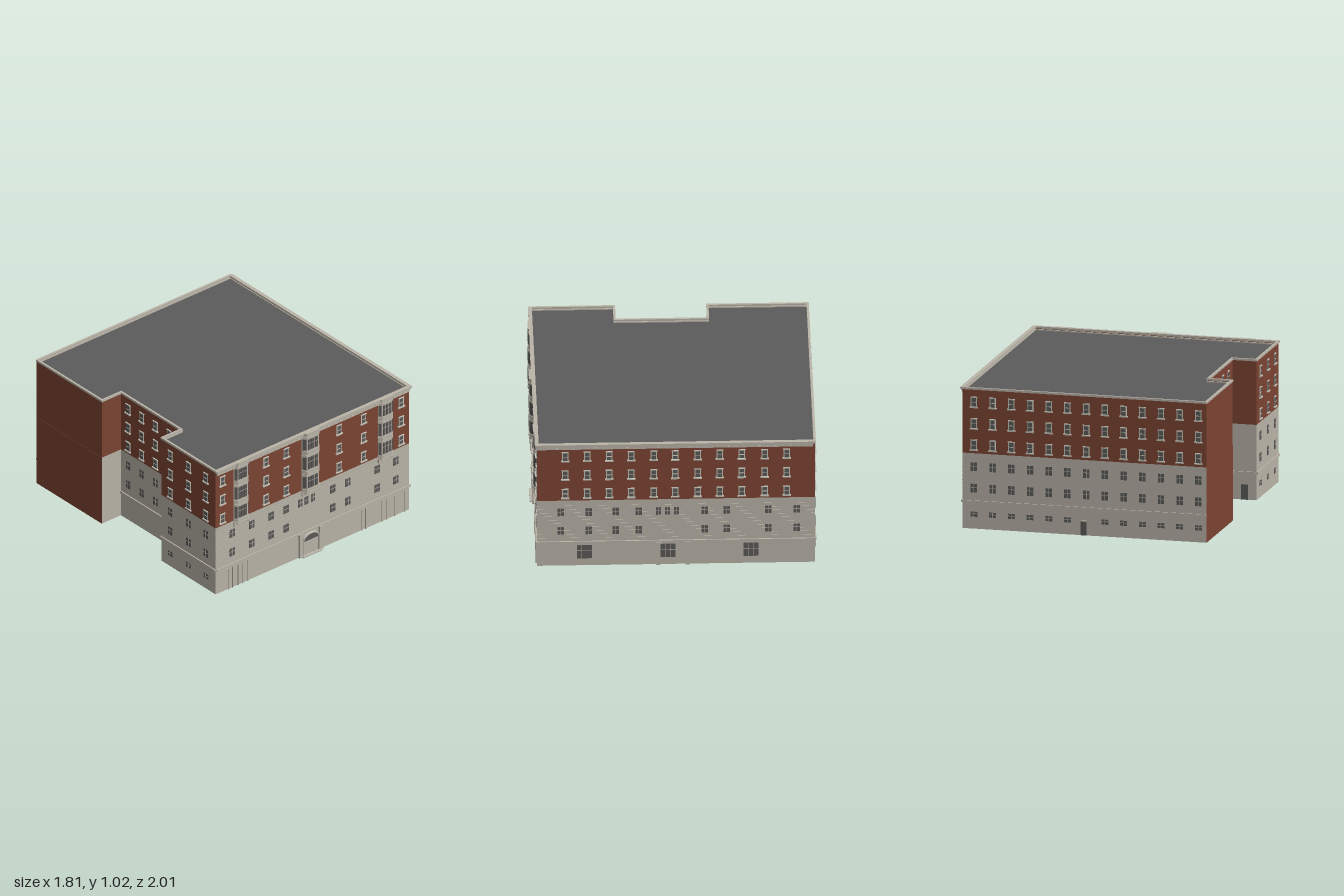
import * as THREE from 'three';
import { mergeGeometries } from 'three/addons/utils/BufferGeometryUtils.js';

const mat = (name, color) => Object.assign(new THREE.MeshStandardMaterial({ color }), { name });
const stone = mat('stone', 0xbab4a8);
const brick = mat('brick', 0x7c4432);
const roofGrey = mat('roofGrey', 0x5c5c5c);
const glass = mat('glass', 0x5b5a59);
const trim = mat('trim', 0xc6c4b8);

// L-notched footprint of the block, grown outwards by o
function footprint(o) {
  const pts = [[-0.895 - o, 0.965 + o], [0.885 + o, 0.965 + o], [0.885 + o, -0.995 - o], [-0.895 - o, -0.995 - o],
    [-0.895 - o, -0.28 + o], [-0.72 - o, -0.28 + o], [-0.72 - o, 0.37 - o], [-0.895 - o, 0.37 - o]];
  return pts.map(([x, z]) => new THREE.Vector2(x, -z));
}

// upright prism from a plan shape
function prism(shape, y0, y1) {
  const g = new THREE.ExtrudeGeometry(shape, { depth: y1 - y0, bevelEnabled: false });
  return g.rotateX(-Math.PI / 2).translate(0, y0, 0);
}

function slab(name, material, outer, inner, y0, y1) {
  const shape = new THREE.Shape(footprint(outer));
  if (inner !== null) shape.holes.push(new THREE.Path(footprint(inner)));
  const mesh = new THREE.Mesh(prism(shape, y0, y1), material);
  mesh.name = name;
  return mesh;
}

// Collects the details of one wall: x runs along it, z points outwards
class Wall {
  constructor(name, x, z, turn) {
    this.group = new THREE.Group();
    this.group.name = name;
    this.group.position.set(x, 0, z);
    this.group.rotation.y = turn;
    this.parts = new Map();
  }
  add(part, material, geometry) {
    if (!this.parts.has(part)) this.parts.set(part, { material, list: [] });
    this.parts.get(part).list.push(geometry.index ? geometry.toNonIndexed() : geometry);
  }
  // box whose back sits on depth z0
  box(part, material, w, h, d, x, y, z0 = 0, turn = 0) {
    this.add(part, material, new THREE.BoxGeometry(w, h, d).rotateY(turn).translate(x, y, z0 + d / 2));
  }
  // framed sash window with lintel and sill
  sash(x, y) {
    this.box('windowFrames', trim, 0.046, 0.074, 0.004, x, y);
    this.box('windowGlass', glass, 0.032, 0.062, 0.002, x, y, 0.004);
    this.box('windowFrames', trim, 0.032, 0.004, 0.002, x, y, 0.006);
    this.box('windowSills', trim, 0.06, 0.009, 0.012, x, y - 0.037);
    this.box('windowSills', trim, 0.05, 0.006, 0.008, x, y + 0.037);
  }
  // plain window with a crossbar
  plain(x, y, w = 0.046, h = 0.062, bars = 1) {
    this.box('windowGlass', glass, w, h, 0.004, x, y);
    this.box('windowBars', stone, w, 0.003, 0.002, x, y + h * 0.08, 0.004);
    for (let i = 1; i <= bars; i++)
      this.box('windowBars', stone, 0.003, h, 0.002, x - w / 2 + (w * i) / (bars + 1), y, 0.004);
  }
  upper(xs) { for (const y of [0.915, 0.76, 0.605]) for (const x of xs) this.sash(x, y); }
  middle(xs) { for (const y of [0.448, 0.293]) for (const x of xs) this.plain(x, y); }
  trio(xs) { for (const x of xs) this.plain(x, 0.448, 0.036); }
  belt(x0, x1) { this.box('beltCourse', stone, x1 - x0, 0.016, 0.009, (x0 + x1) / 2, 0.196); }
  // stepped cornice with small blocks
  cornice(x0, x1) {
    const c = (x0 + x1) / 2, w = x1 - x0;
    this.box('cornice', stone, w, 0.02, 0.006, c, 0.985);
    this.box('cornice', stone, w + 0.01, 0.012, 0.011, c, 1.0);
    this.box('cornice', stone, w + 0.03, 0.014, 0.016, c, 1.013);
    for (let x = x0 + 0.03; x < x1; x += 0.055) this.box('corniceBlocks', trim, 0.01, 0.01, 0.011, x, 0.988);
  }
  courses(x0, x1) {
    for (let y = 0.23; y < 0.53; y += 0.03) this.box('stoneCourses', stone, x1 - x0, 0.004, 0.0015, (x0 + x1) / 2, y);
  }
  pilaster(x, w = 0.032) {
    this.box('pilasters', stone, w, 0.175, 0.014, x, 0.0875);
    this.box('pilasters', stone, w + 0.006, 0.018, 0.018, x, 0.184);
  }
  build() {
    for (const [part, { material, list }] of this.parts) {
      const mesh = new THREE.Mesh(mergeGeometries(list), material);
      mesh.name = part;
      this.group.add(mesh);
    }
    return this.group;
  }
}

// Projecting bay with canted sides, three storeys of glass
function bayWindow(wall, x, half, front, depth) {
  const plan = (k) => new THREE.Shape([[-half - k, 0], [half + k, 0], [front + k, -depth - k], [-front - k, -depth - k]]
    .map(([px, py]) => new THREE.Vector2(px, py)));
  const part = (k, y0, y1) => wall.add('bayWindows', stone, prism(plan(k), y0, y1).translate(x, 0, 0));
  part(0, 0.53, 1.0);
  part(0.004, 0.518, 0.53);
  part(0.004, 1.0, 1.02);
  const run = half - front, slant = Math.hypot(run, depth), turn = Math.atan2(depth, run);
  for (const [y0, y1] of [[0.565, 0.66], [0.72, 0.82], [0.88, 0.968]]) {
    const h = y1 - y0, y = (y0 + y1) / 2, pane = (front * 2) / 3;
    part(0.003, y0 - 0.02, y0 - 0.01);
    part(0.003, y1 + 0.01, y1 + 0.018);
    for (const i of [-1, 0, 1]) {
      wall.box('bayGlass', glass, pane * 0.72, h * 0.56, 0.003, x + i * pane * 0.9, y - h * 0.2, depth);
      wall.box('bayGlass', glass, pane * 0.72, h * 0.34, 0.003, x + i * pane * 0.9, y + h * 0.31, depth);
    }
    for (const s of [-1, 1])
      wall.box('bayGlass', glass, slant * 0.7, h, 0.004, x + s * (half + front) / 2, y, depth / 2 - 0.002, s * turn);
  }
  // end brackets
  for (const s of [-1, 1]) wall.box('bayBrackets', stone, 0.014, 0.03, 0.012, x + s * (half - 0.004), 0.513);
}

// Arched main entrance
function entrance(wall, x) {
  const arch = (w, h, spring) => {
    const s = new THREE.Shape();
    s.moveTo(-w, 0).lineTo(w, 0).lineTo(w, spring);
    s.absellipse(0, spring, w, h - spring, 0, Math.PI, false, 0);
    s.lineTo(-w, 0);
    return s;
  };
  const rim = arch(0.075, 0.175, 0.125);
  rim.holes.push(arch(0.068, 0.167, 0.122));
  const extrude = (s, depth) => new THREE.ExtrudeGeometry(s, { depth, bevelEnabled: false, curveSegments: 16 });
  wall.add('entranceArch', trim, extrude(rim, 0.014).translate(x, 0, 0));
  wall.add('entranceGlass', glass, extrude(arch(0.068, 0.167, 0.122), 0.003).translate(x, 0, 0));
  for (const s of [-1, 1]) {
    wall.box('entranceDoors', stone, 0.065, 0.1, 0.004, x + s * 0.0335, 0.062, 0.003);
    wall.pilaster(x + s * 0.093);
  }
  wall.box('entranceStep', stone, 0.17, 0.008, 0.03, x, 0.004);
}

export function createModel() {
  const model = new THREE.Group();
  model.name = 'cornerBlock';

  // shell, open underneath
  model.add(slab('innerWalls', stone, -0.003, -0.012, 0, 1.0));
  model.add(slab('stoneBase', stone, 0, -0.003, 0, 0.545));
  model.add(slab('brickStoreys', brick, 0, -0.003, 0.545, 1.005));
  model.add(slab('parapetCoping', stone, 0.004, -0.012, 1.005, 1.02));
  model.add(slab('flatRoof', roofGrey, -0.011, null, 0.985, 0.992));

  // street front
  const front = new Wall('frontWall', 0, 0.965, 0);
  front.upper([-0.834, -0.435, -0.248, 0.238, 0.464, 0.81]);
  front.middle([-0.743, -0.565, -0.387, -0.248, 0.18, 0.32, 0.589, 0.762]);
  front.trio([-0.118, -0.06, -0.002]);
  front.courses(-0.895, 0.885);
  front.belt(-0.895, 0.894);
  front.cornice(-0.885, 0.885);
  bayWindow(front, -0.662, 0.068, 0.045, 0.02);
  bayWindow(front, -0.024, 0.079, 0.053, 0.03);
  bayWindow(front, 0.667, 0.068, 0.045, 0.02);
  entrance(front, -0.024);
  for (const x of [-0.78, -0.74, -0.69, -0.65, -0.6, 0.445, 0.485, 0.635, 0.675, 0.75, 0.845])
    front.box('shopfrontPosts', stone, 0.008, 0.17, 0.008, x, 0.085);
  model.add(front.build());

  // side street wall
  const side = new Wall('rightWall', 0.885, 0, Math.PI / 2);
  side.upper([-0.767, -0.612, -0.457, -0.302, -0.142, 0.008, 0.168, 0.324, 0.479, 0.639, 0.794]);
  side.middle([-0.799, -0.602, -0.409, -0.249, 0.217, 0.372, 0.666, 0.864]);
  side.trio([-0.11, -0.045, 0.019]);
  side.courses(-0.965, 0.995);
  side.belt(-0.974, 0.995);
  side.cornice(-0.965, 0.98);
  for (const x of [-0.631, -0.043, 0.543]) side.plain(x, 0.115, 0.108, 0.11, 2);
  for (const x of [-0.11, 0.097]) side.pilaster(x);
  model.add(side.build());

  // rear wall
  const back = new Wall('backWall', 0, -0.995, Math.PI);
  const columns = Array.from({ length: 13 }, (_, i) => -0.8 + i * 0.1365);
  back.upper(columns);
  back.middle(columns);
  for (const x of columns) if (Math.abs(x) > 0.08) back.plain(x, 0.105, 0.05, 0.036);
  back.box('backDoor', glass, 0.045, 0.1, 0.004, 0.0, 0.05);
  back.box('backDoorFrame', stone, 0.06, 0.01, 0.01, 0.0, 0.105);
  back.belt(-0.885, 0.895);
  model.add(back.build());

  // left side: front wing
  const wing = new Wall('leftFrontWing', -0.895, 0, -Math.PI / 2);
  wing.upper([0.47, 0.67, 0.86]);
  wing.middle([0.47, 0.67, 0.86]);
  for (const x of [0.47, 0.67, 0.86]) wing.plain(x, 0.105, 0.05, 0.036);
  wing.belt(0.37, 0.965);
  // blank brick flank of the rear wing
  wing.box('blankFlank', brick, 0.715, 0.545, 0.002, -0.6375, 0.2725);
  model.add(wing.build());

  // light court in the left side
  const court = new Wall('courtWall', -0.72, 0, -Math.PI / 2);
  court.upper([-0.2, -0.05, 0.1, 0.25]);
  court.middle([-0.2, -0.05, 0.1, 0.25]);
  court.belt(-0.28, 0.37);
  model.add(court.build());

  const courtSide = new Wall('courtSideWall', -0.8075, 0.37, Math.PI);
  courtSide.box('courtDoor', glass, 0.05, 0.11, 0.004, 0, 0.055);
  courtSide.belt(-0.0875, 0.0875);
  model.add(courtSide.build());

  return model;
}
